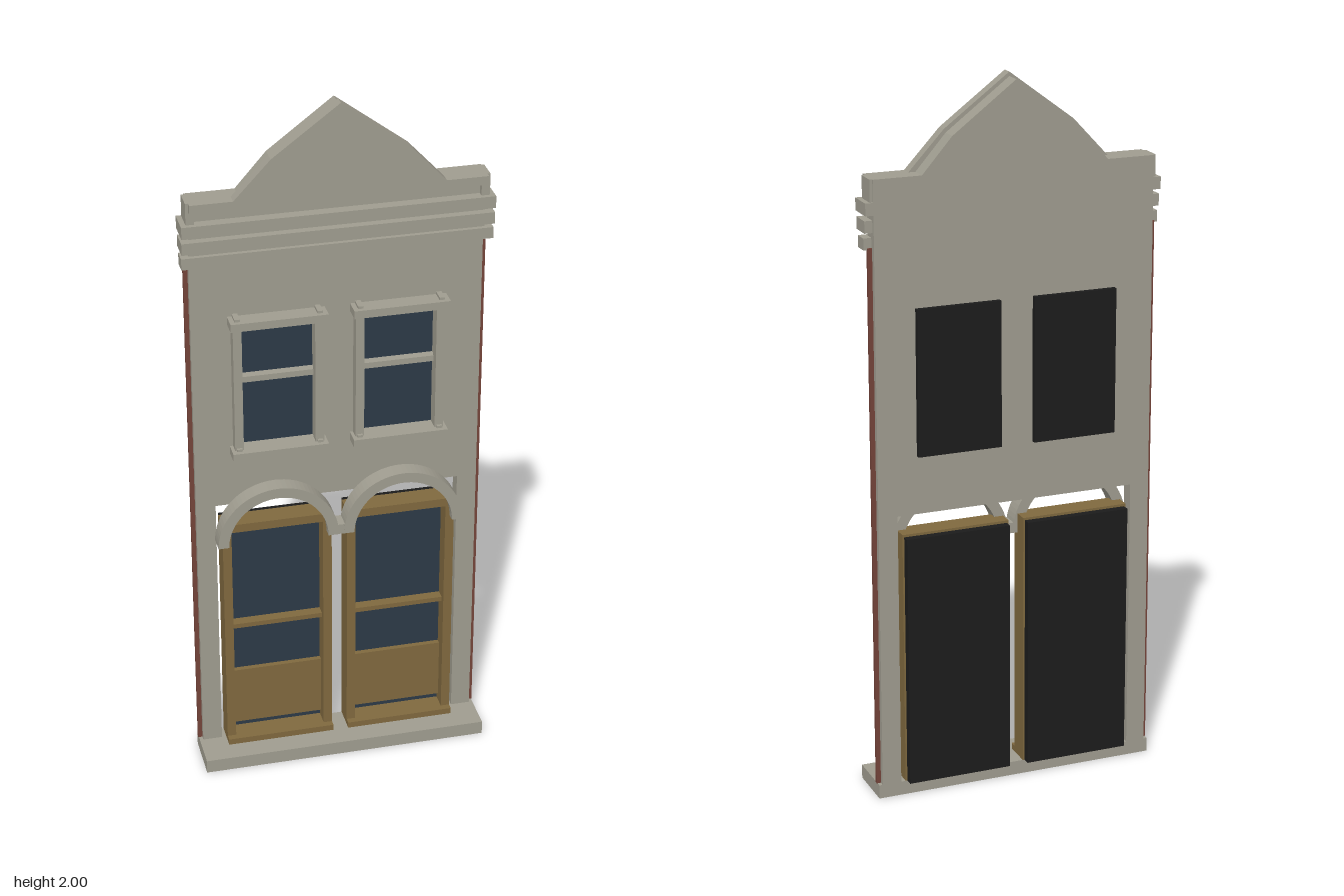
import * as THREE from 'three';

const mat = (name, color, side = THREE.FrontSide) => {
  const m = new THREE.MeshStandardMaterial({ color, side });
  m.name = name;
  return m;
};

export function createModel() {
  const stone = mat('stone', 0xa09d90);
  const wood = mat('wood', 0x80693f);
  const glass = mat('glass', 0x2d3a47);
  const backing = mat('backing', 0x1c1c1c);
  const brick = mat('brick', 0x74443a);

  const model = new THREE.Group();
  model.name = 'townhouseFacade';

  // box given by its limits on each axis
  const box = (parent, name, m, x0, x1, y0, y1, z0, z1) => {
    const mesh = new THREE.Mesh(new THREE.BoxGeometry(x1 - x0, y1 - y0, z1 - z0), m);
    mesh.position.set((x0 + x1) / 2, (y0 + y1) / 2, (z0 + z1) / 2);
    mesh.name = name;
    parent.add(mesh);
    return mesh;
  };
  const toShape = (pts) => new THREE.Shape(pts.map(([x, y]) => new THREE.Vector2(x, y)));
  // flat outline pushed from z0 to z1
  const slab = (parent, name, m, shape, z0, z1) => {
    const geo = new THREE.ExtrudeGeometry(shape, { depth: z1 - z0, bevelEnabled: false, curveSegments: 20 });
    const mesh = new THREE.Mesh(geo, m);
    mesh.position.z = z0;
    mesh.name = name;
    parent.add(mesh);
    return mesh;
  };
  const mirrored = (pts) => [...pts, ...pts.filter(([x]) => x !== 0).reverse().map(([x, y]) => [-x, y])];

  // wall with shopfront opening and two window holes
  const wall = toShape([
    [-0.4, 0.04], [-0.345, 0.04], [-0.345, 0.825], [0.345, 0.825],
    [0.345, 0.04], [0.4, 0.04], [0.4, 1.69], [-0.4, 1.69],
  ]);
  for (const s of [-1, 1]) {
    const c = s * 0.168;
    wall.holes.push(new THREE.Path([
      [c - 0.103, 1.005], [c - 0.103, 1.385], [c + 0.103, 1.385], [c + 0.103, 1.005],
    ].map(([x, y]) => new THREE.Vector2(x, y))));
  }
  slab(model, 'wall', stone, wall, -0.06, -0.02);
  box(model, 'baseStep', stone, -0.41, 0.41, 0, 0.04, -0.06, 0.085);

  // brick edges beside the wall
  for (const s of [-1, 1]) {
    const a = s * 0.4, b = s * 0.412;
    box(model, 'brickEdge', brick, Math.min(a, b), Math.max(a, b), 0.04, 1.57, -0.045, -0.035);
  }

  // cornice mouldings
  for (const [y0, y1, z0, z1] of [
    [1.565, 1.597, -0.04, 0.002], [1.612, 1.645, -0.05, 0.012], [1.66, 1.694, -0.06, 0.018],
  ]) box(model, 'cornice', stone, -0.422, 0.422, y0, y1, z0, z1);
  box(model, 'corniceCore', stone, -0.4, 0.4, 1.56, 1.69, -0.03, -0.01);

  // parapet, gable panel and raised gable trim
  box(model, 'parapet', stone, -0.4, 0.4, 1.69, 1.755, -0.06, -0.012);
  for (const s of [-1, 1]) {
    const end = box(model, 'parapetEnd', stone, 0.385, 0.408, 1.69, 1.755, -0.055, 0.005);
    end.position.x *= s;
  }
  const inner = [[0.385, 1.73], [0.272, 1.73], [0.18, 1.838], [0, 1.975]];
  const outer = [[0.4, 1.755], [0.285, 1.755], [0.185, 1.862], [0, 2]];
  slab(model, 'gablePanel', stone, toShape(mirrored([
    [0.265, 1.7], [0.265, 1.755], [0.18, 1.852], [0, 1.988],
  ])), -0.06, -0.01);
  slab(model, 'gableTrim', stone, toShape([
    ...mirrored(outer), [-0.4, 1.73], ...mirrored(inner).reverse(), [0.4, 1.73],
  ]), -0.012, 0.02);

  for (const s of [-1, 1]) {
    // upper sash window
    const win = new THREE.Group();
    win.name = 'upperWindow';
    win.position.x = s * 0.168;
    model.add(win);
    box(win, 'windowBacking', backing, -0.12, 0.12, 0.99, 1.4, -0.075, -0.0605);
    box(win, 'windowGlass', glass, -0.103, 0.103, 1.005, 1.385, -0.048, -0.04);
    box(win, 'sashBar', stone, -0.103, 0.103, 1.204, 1.221, -0.04, -0.015);
    box(win, 'lintel', stone, -0.133, 0.133, 1.382, 1.405, -0.02, 0.03);
    box(win, 'sill', stone, -0.133, 0.133, 0.987, 1.01, -0.02, 0.03);
    for (const k of [-1, 1]) {
      const jamb = box(win, 'jamb', stone, 0.1, 0.124, 1.0, 1.39, -0.02, 0.01);
      jamb.position.x *= k;
      for (const y of [0.98, 1.375]) {
        const block = box(win, 'cornerBlock', stone, 0.105, 0.12, y, y + 0.037, -0.02, 0.018);
        block.position.x *= k;
      }
    }

    // door with glazed upper part and solid lower panel
    const door = new THREE.Group();
    door.name = 'door';
    door.position.x = s * 0.177;
    model.add(door);
    box(door, 'doorBacking', backing, -0.15, 0.15, 0.04, 0.763, -0.083, -0.06);
    box(door, 'doorGlass', glass, -0.135, 0.135, 0.058, 0.747, -0.052, -0.045);
    box(door, 'doorPanel', wood, -0.13, 0.13, 0.08, 0.26, -0.046, -0.03);
    box(door, 'glazingBar', wood, -0.13, 0.13, 0.415, 0.429, -0.046, -0.015);
    box(door, 'doorHead', wood, -0.155, 0.155, 0.745, 0.77, -0.06, 0.003);
    box(door, 'threshold', wood, -0.155, 0.155, 0.04, 0.058, -0.06, 0.022);
    for (const k of [-1, 1]) {
      const post = box(door, 'doorPost', wood, 0.13, 0.155, 0.058, 0.745, -0.06, 0.003);
      post.position.x *= k;
    }

    // arch moulding over the door
    const arch = new THREE.Shape();
    arch.absarc(0, 0.715, 0.171, 0, Math.PI, false);
    arch.absarc(0, 0.715, 0.141, Math.PI, 0, true);
    slab(model, 'arch', stone, arch, -0.02, 0.03).position.x = s * 0.178;
  }
  // shared foot where the two arches meet
  box(model, 'archFoot', stone, -0.035, 0.035, 0.715, 0.745, -0.02, 0.029);

  return model;
}
